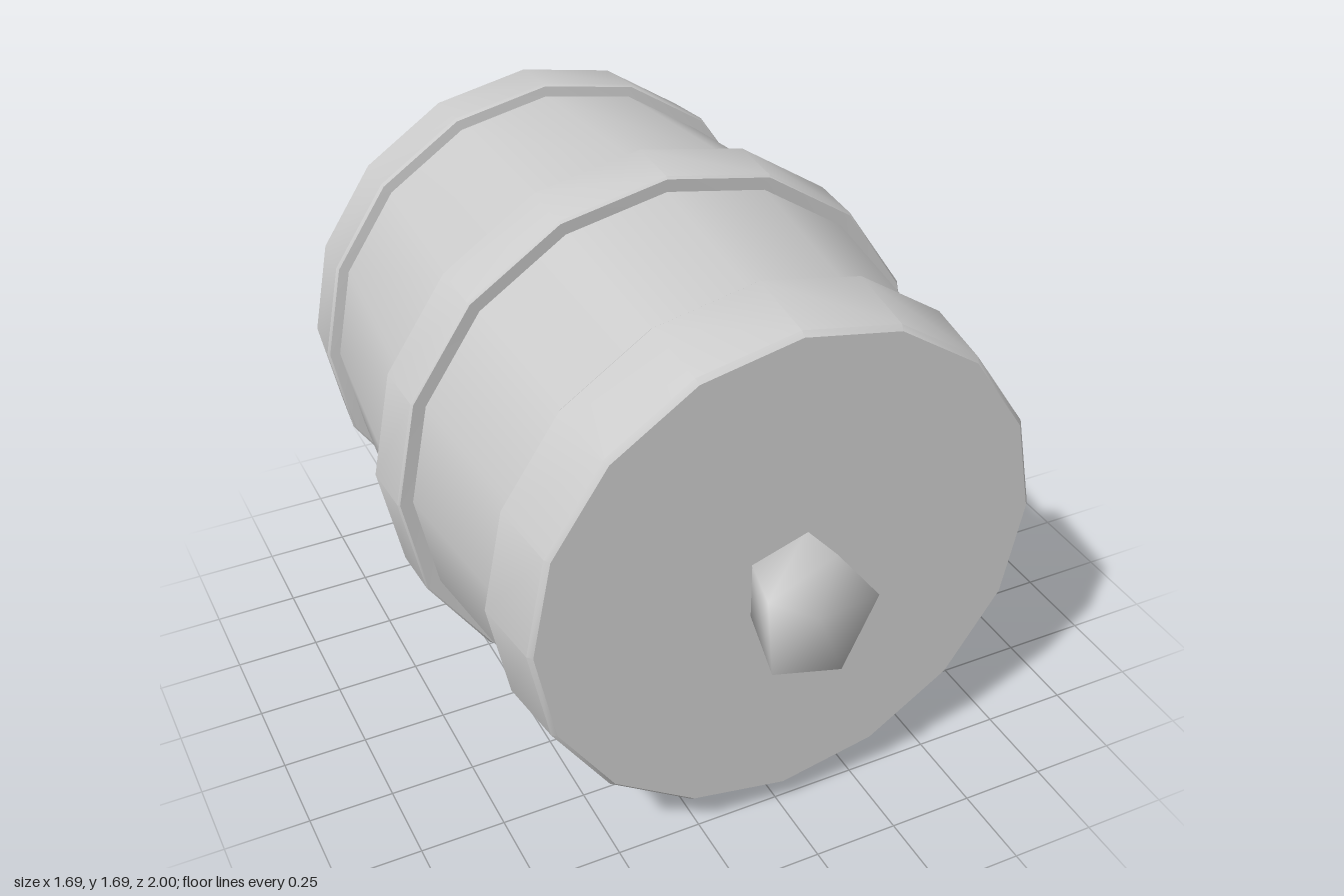
import * as THREE from 'three';
import { toCreasedNormals } from 'three/addons/utils/BufferGeometryUtils.js';

const SIDES = 16;
const CENTRE_Y = 0.85;
const material = new THREE.MeshStandardMaterial({ color: 0xcccccc });

// Turn a profile of [radius, z] points around the barrel's long axis
function turned(name, profile) {
  const points = profile.map(([r, z]) => new THREE.Vector2(r, z));
  const geometry = new THREE.LatheGeometry(points, SIDES).rotateX(Math.PI / 2);
  const mesh = new THREE.Mesh(toCreasedNormals(geometry, 0.6), material);
  mesh.name = name;
  mesh.position.y = CENTRE_Y;
  return mesh;
}

// Flared five-sided plug with a slanted outer end
function createPlug() {
  const n = 5, base = 0.145, baseZ = 0.78;
  const endZ = [0.95, 0.94, 0.965, 1.0, 0.995];
  const positions = [], index = [];
  for (let i = 0; i < n; i++) {
    const a = (i / n) * Math.PI * 2;
    positions.push(Math.cos(a) * base - 0.005, Math.sin(a) * base, baseZ);
  }
  for (let i = 0; i < n; i++) {
    const a = (i / n) * Math.PI * 2;
    positions.push(Math.cos(a) * 0.19 - 0.02, Math.sin(a) * 0.18, endZ[i]);
  }
  positions.push(-0.02, 0, 0.97);
  for (let i = 0; i < n; i++) {
    const j = (i + 1) % n;
    index.push(i, j, n + j, i, n + j, n + i); // side
    index.push(n + i, n + j, 2 * n); // outer end
  }
  const geometry = new THREE.BufferGeometry();
  geometry.setAttribute('position', new THREE.Float32BufferAttribute(positions, 3));
  geometry.setIndex(index);
  geometry.computeVertexNormals();
  const mesh = new THREE.Mesh(geometry, material);
  mesh.name = 'plug';
  mesh.position.y = CENTRE_Y;
  return mesh;
}

export function createModel() {
  const group = new THREE.Group();
  group.name = 'barrel';

  group.add(
    // Bulging body with both flat ends
    turned('body', [
      [0, -1], [0.74, -1], [0.73, -0.83], [0.8, -0.15],
      [0.792, 0.02], [0.737, 0.54], [0.73, 0.7], [0.74, 0.79], [0, 0.79],
    ]),
    // Hoops
    turned('backHoop', [
      [0.74, -1], [0.75, -1], [0.768, -0.835], [0.762, -0.825], [0.72, -0.82],
    ]),
    turned('middleHoop', [
      [0.78, -0.15], [0.835, -0.153], [0.843, -0.145],
      [0.836, 0.022], [0.83, 0.03], [0.78, 0.027],
    ]),
    turned('frontHoop', [
      [0.72, 0.543], [0.775, 0.545], [0.784, 0.557], [0.758, 0.775], [0.745, 0.79], [0.74, 0.79],
    ]),
    createPlug(),
  );
  return group;
}
